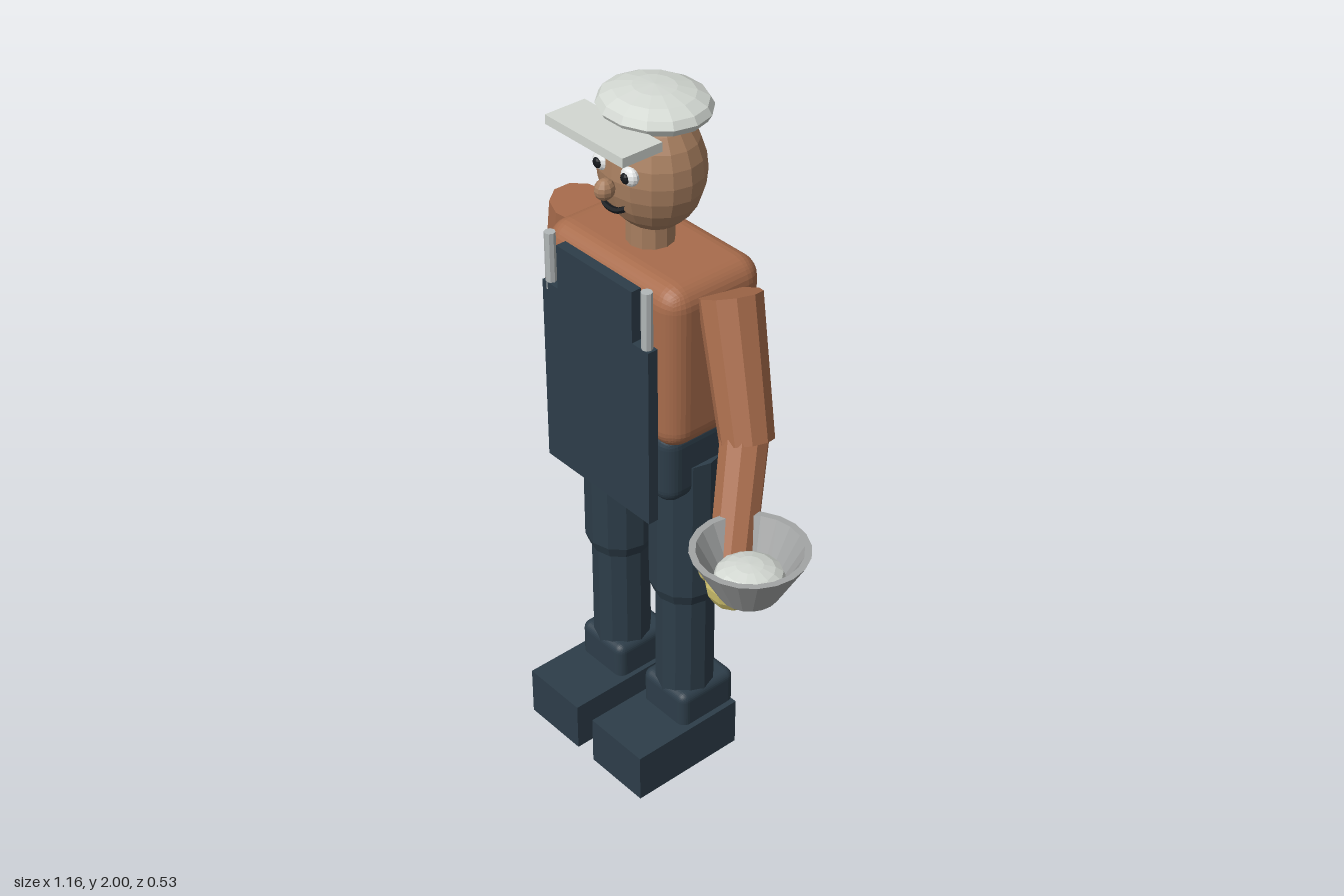
import * as THREE from 'three';
import { RoundedBoxGeometry } from 'three/addons/geometries/RoundedBoxGeometry.js';

const V = (x, y, z) => new THREE.Vector3(x, y, z);

function mat(name, color, flatShading = true, side = THREE.FrontSide) {
  const m = new THREE.MeshStandardMaterial({ color, flatShading, side });
  m.name = name;
  return m;
}

export function createModel() {
  const shirt = mat('shirt brown', 0xa86c4c);
  const skin = mat('skin', 0xa87f60);
  const navy = mat('navy', 0x2d3d49);
  const pale = mat('cap white', 0xd3d8d2);
  const strapGrey = mat('strap grey', 0xb2b7b8);
  const glove = mat('glove yellow', 0xd2c46f);
  const steel = mat('bowl grey', 0xa3a5a5, true, THREE.DoubleSide);
  const black = mat('black', 0x15181c);
  const white = mat('eye white', 0xe8eaea);

  const model = new THREE.Group();
  const CX = -0.184; // body centre line
  const CZ = -0.115;

  const add = (name, geometry, material, pos = V(0, 0, 0)) => {
    const mesh = new THREE.Mesh(geometry, material);
    mesh.name = name;
    mesh.position.copy(pos);
    model.add(mesh);
    return mesh;
  };
  // Boxes given by their ranges on each axis, rounded when r > 0
  const box = (name, material, [x0, x1], [y0, y1], [z0, z1], r = 0) => {
    const s = [x1 - x0, y1 - y0, z1 - z0];
    const g = r ? new RoundedBoxGeometry(...s, 4, r) : new THREE.BoxGeometry(...s);
    return add(name, g, material, V((x0 + x1) / 2, (y0 + y1) / 2, (z0 + z1) / 2));
  };
  const ball = (name, material, pos, rx, ry = rx, rz = rx, w = 14, h = 10) => {
    const g = new THREE.SphereGeometry(1, w, h).scale(rx, ry, rz);
    return add(name, g, material, pos);
  };
  // Tapered cylinder from point a to point b
  const limb = (name, material, a, b, ra, rb, sides = 10) => {
    const d = b.clone().sub(a);
    const g = new THREE.CylinderGeometry(rb, ra, d.length(), sides);
    const mesh = add(name, g, material, a.clone().add(b).multiplyScalar(0.5));
    mesh.quaternion.setFromUnitVectors(V(0, 1, 0), d.normalize());
    return mesh;
  };

  // Torso and hips
  box('torso', shirt, [-0.435, 0.067], [1.12, 1.59], [-0.268, 0.038], 0.06);
  box('hips', navy, [-0.4, 0.032], [0.93, 1.15], [-0.248, 0.02], 0.045);

  // Legs and boots
  for (const [side, s] of [['left', 1], ['right', -1]]) {
    const x = CX + s * 0.134;
    const thigh = [[0, 0.565], [0.085, 0.565], [0.098, 0.6], [0.098, 1.03], [0, 1.03]];
    add(side + 'Thigh', new THREE.LatheGeometry(thigh.map(p => new THREE.Vector2(...p)), 12), navy, V(x, 0, -0.11));
    limb(side + 'Shin', navy, V(x, 0.15, -0.112), V(x, 0.6, -0.112), 0.082, 0.082, 12);
    box(side + 'Ankle', navy, [x - 0.087, x + 0.087], [0.09, 0.255], [-0.222, -0.03], 0.025);
    const b = x + s * 0.001;
    box(side + 'Boot', navy, [b - 0.102, b + 0.102], [0, 0.15], [-0.212, 0.14]);
  }

  // Apron with a narrower bib, and its straps
  const outline = [[-0.385, 0.91], [0.02, 0.91], [0.02, 1.43], [-0.04, 1.43],
    [-0.04, 1.575], [-0.325, 1.575], [-0.325, 1.45], [-0.385, 1.45]];
  const apron = new THREE.Shape(outline.map(p => new THREE.Vector2(...p)));
  add('apron', new THREE.ExtrudeGeometry(apron, { depth: 0.03, bevelEnabled: false }), navy, V(0, 0, 0.044));
  for (const x of [-0.367, 0]) {
    limb('strap', strapGrey, V(x, 1.43, 0.06), V(x, 1.59, 0.06), 0.015, 0.015, 8);
  }

  // Neck, head and face
  limb('neck', skin, V(CX, 1.56, -0.11), V(CX, 1.68, -0.11), 0.062, 0.062, 12);
  ball('head', skin, V(CX, 1.793, CZ), 0.147, 0.167, 0.127, 16, 12);
  ball('nose', skin, V(CX, 1.776, 0.032), 0.024, 0.028, 0.028, 10, 8);
  for (const s of [-1, 1]) {
    ball('eye', white, V(CX + s * 0.052, 1.82, -0.003), 0.027, 0.025, 0.018, 12, 8);
    ball('pupil', black, V(CX + s * 0.051, 1.819, 0.012), 0.014, 0.014, 0.008, 10, 6);
  }
  const smile = new THREE.CatmullRomCurve3([
    V(CX - 0.045, 1.732, 0.005), V(CX - 0.02, 1.72, 0.013),
    V(CX + 0.02, 1.72, 0.013), V(CX + 0.045, 1.732, 0.005)]);
  add('mouth', new THREE.TubeGeometry(smile, 8, 0.008, 6), black);

  // Flat cap
  ball('cap', pale, V(CX, 1.95, -0.125), 0.152, 0.05, 0.136, 14, 8);
  box('capVisor', pale, [-0.323, -0.041], [1.915, 1.94], [-0.025, 0.095]);

  // Right arm hangs down
  limb('rightUpperArm', shirt, V(-0.46, 1.565, CZ), V(-0.518, 1.25, CZ), 0.081, 0.069);
  limb('rightForearm', shirt, V(-0.507, 1.28, CZ), V(-0.504, 0.98, CZ), 0.06, 0.058);
  ball('rightGlove', glove, V(-0.504, 0.96, CZ), 0.068, 0.072, 0.062, 10, 8);

  // Left arm reaches forward to hold the bowl
  limb('leftUpperArm', shirt, V(0.1, 1.56, CZ), V(0.235, 1.23, -0.055), 0.081, 0.069);
  limb('leftForearm', shirt, V(0.222, 1.26, -0.062), V(0.335, 0.985, 0.08), 0.062, 0.058);
  ball('leftGlove', glove, V(0.352, 0.945, 0.097), 0.07, 0.076, 0.064, 10, 8);
  ball('leftThumb', glove, V(0.303, 0.978, 0.13), 0.024, 0.042, 0.026, 8, 6);

  // Bowl, open underneath, with its contents
  const wall = [[0.062, 0.975], [0.075, 0.975], [0.147, 1.105], [0.13, 1.105], [0.062, 0.975]];
  add('bowl', new THREE.LatheGeometry(wall.map(p => new THREE.Vector2(...p)), 20), steel, V(0.435, 0, 0.115));
  ball('bowlContents', pale, V(0.435, 1.02, 0.115), 0.088, 0.04, 0.088, 14, 8);

  return model;
}
